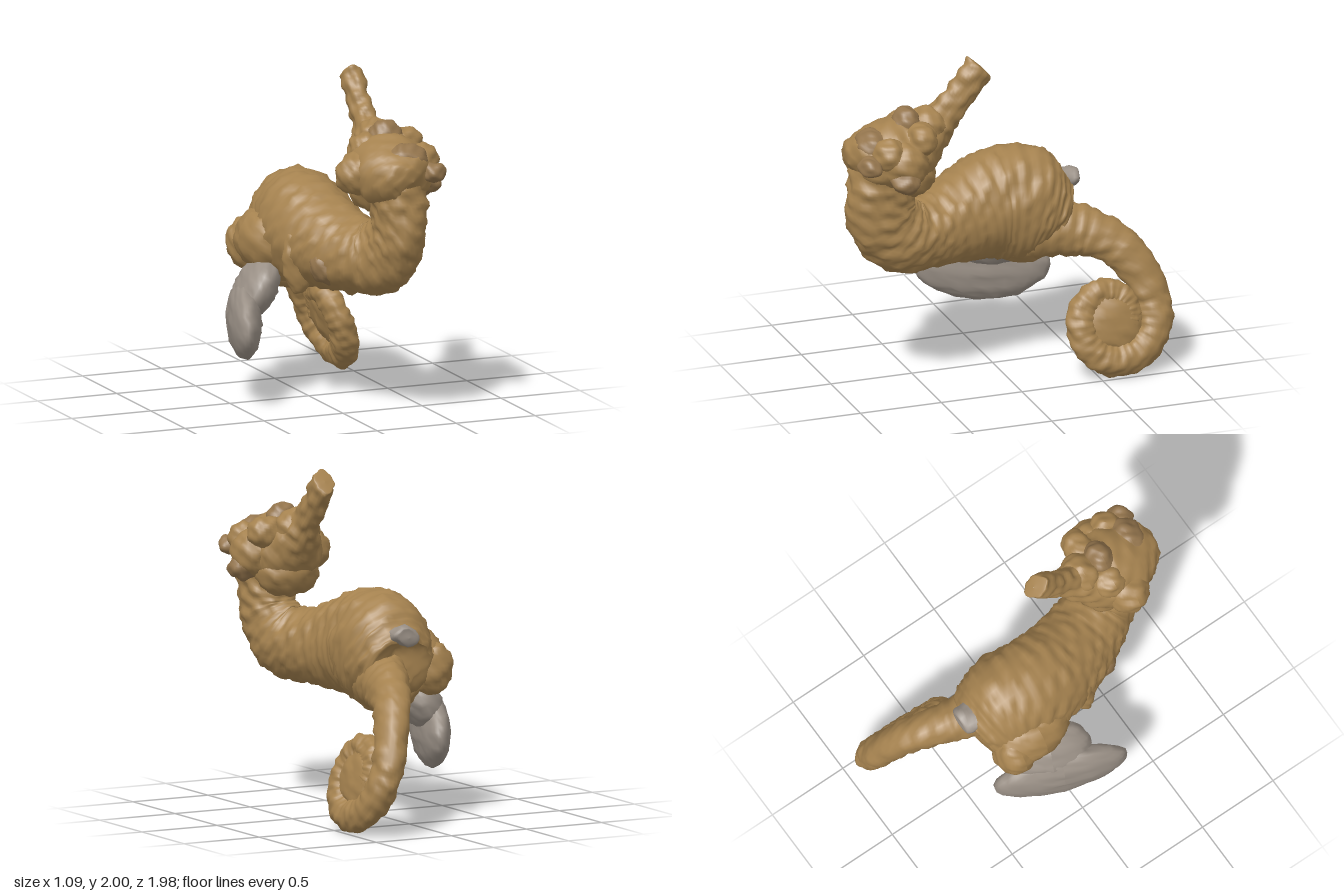
import * as THREE from 'three';

const tan = new THREE.MeshStandardMaterial({ color: 0xa5824f });
const brown = new THREE.MeshStandardMaterial({ color: 0x94754d });
const grey = new THREE.MeshStandardMaterial({ color: 0x9a9086 });

// Smooth pseudo-random roughness for the knobbly skin
const rough = (p) =>
  Math.sin(p.x * 31 + p.y * 17) * Math.sin(p.y * 37 - p.z * 13) * Math.sin(p.z * 29 + p.x * 11) +
  0.5 * Math.sin(p.x * 67 + p.z * 41) * Math.sin(p.y * 71 + p.z * 23);

// Skin elliptical rings along a path; stations are [x, y, z, sideRadius, depthRadius]
function loft(stations, { steps, sides = 32, ref, bump = 0.015, ribs = 0 }) {
  const path = new THREE.CatmullRomCurve3(stations.map((s) => new THREE.Vector3(s[0], s[1], s[2])));
  const radii = new THREE.CatmullRomCurve3(
    stations.map((s, i) => new THREE.Vector3(s[3], s[4], i * 0.1)));
  const pos = [], index = [];
  const p = new THREE.Vector3();
  for (let i = 0; i <= steps; i++) {
    const t = i / steps;
    const c = path.getPoint(t), r = radii.getPoint(t), tangent = path.getTangent(t);
    const side = ref.clone().addScaledVector(tangent, -ref.dot(tangent)).normalize();
    const up = tangent.clone().cross(side);
    const rib = 1 + ribs * Math.sin(i * 1.6);
    for (let j = 0; j < sides; j++) {
      const a = (j / sides) * Math.PI * 2;
      const offset = side.clone().multiplyScalar(Math.cos(a) * Math.max(r.x, 0.001))
        .addScaledVector(up, Math.sin(a) * Math.max(r.y, 0.001));
      p.copy(c).add(offset);
      const k = rib + (bump * rough(p)) / Math.max(offset.length(), 0.05);
      p.copy(c).addScaledVector(offset, k);
      pos.push(p.x, p.y, p.z);
      if (i < steps) {
        const a0 = i * sides + j, b0 = i * sides + ((j + 1) % sides);
        index.push(a0, b0, a0 + sides, b0, b0 + sides, a0 + sides);
      }
    }
  }
  const geo = new THREE.BufferGeometry();
  geo.setAttribute('position', new THREE.Float32BufferAttribute(pos, 3));
  geo.setIndex(index);
  geo.computeVertexNormals();
  return geo;
}

// Rough ellipsoid, optionally turned about the upright axis and leaned about z
function blob(x, y, z, rx, ry, rz, yaw = 0, lean = 0) {
  const geo = new THREE.SphereGeometry(1, 32, 22);
  geo.scale(rx, ry, rz).rotateZ(lean).rotateY(yaw).translate(x, y, z);
  const pos = geo.attributes.position;
  const c = new THREE.Vector3(x, y, z), v = new THREE.Vector3();
  for (let i = 0; i < pos.count; i++) {
    v.fromBufferAttribute(pos, i);
    const k = 1 + 0.012 * rough(v) / Math.max(v.distanceTo(c), 0.08);
    v.sub(c).multiplyScalar(k).add(c);
    pos.setXYZ(i, v.x, v.y, v.z);
  }
  geo.computeVertexNormals();
  return geo;
}

export function createModel() {
  const model = new THREE.Group();
  const add = (name, geo, mat) => {
    const mesh = new THREE.Mesh(geo, mat);
    mesh.name = name;
    model.add(mesh);
  };
  const across = new THREE.Vector3(1, 0, 0);
  const curlNormal = new THREE.Vector3(1, 0.34, 0);

  // Neck and trunk, blunt at the back
  const trunk = [
    [0.22, 1.5, 0.73, 0.17, 0.19],
    [0.23, 1.3, 0.78, 0.16, 0.19],
    [0.23, 1.1, 0.77, 0.15, 0.21],
    [0.19, 0.95, 0.64, 0.19, 0.22],
    [0.11, 0.92, 0.45, 0.23, 0.22],
    [0.03, 0.95, 0.22, 0.26, 0.27],
    [-0.01, 0.98, 0.0, 0.28, 0.33],
    [0.0, 0.97, -0.2, 0.28, 0.34],
    [0.0, 0.93, -0.32, 0.25, 0.26],
    [0.0, 0.89, -0.41, 0.19, 0.17],
    [0.0, 0.89, -0.43, 0.001, 0.001],
  ];
  add('neckAndTrunk', loft(trunk, { steps: 120, sides: 40, ref: across, ribs: 0.012 }), tan);

  // Tail leaving the trunk, then curling inwards on a leaning plane
  const tail = [
    [0.06, 0.84, -0.25, 0.16, 0.19],
    [0.12, 0.82, -0.42, 0.13, 0.16],
    [0.16, 0.79, -0.55, 0.115, 0.14],
    [0.24, 0.69, -0.72, 0.1, 0.125],
  ];
  for (let a = -0.4; a < 9.2; a += 0.5) {
    const r = 0.28 - 0.026 * (a + 0.4);
    const y = 0.325 - r * Math.sin(a);
    const w = 0.105 - 0.005 * a;
    tail.push([0.485 - 0.34 * y, y, -0.6 - r * Math.cos(a), w * 0.85, w]);
  }
  tail.push([0.375, 0.325, -0.6, 0.001, 0.001]);
  add('curledTail', loft(tail, { steps: 200, sides: 28, ref: curlNormal, ribs: 0.03, bump: 0.01 }), tan);
  add('tailCurlWeb', blob(0.375, 0.325, -0.59, 0.075, 0.21, 0.21, 0, 0.33), tan);

  // Head tapering into the tubular snout
  const head = [
    [0.24, 1.45, 0.98, 0.001, 0.001],
    [0.23, 1.46, 0.94, 0.14, 0.12],
    [0.21, 1.46, 0.77, 0.24, 0.2],
    [0.2, 1.49, 0.6, 0.23, 0.21],
    [0.2, 1.57, 0.47, 0.14, 0.14],
    [0.2, 1.66, 0.38, 0.08, 0.1],
    [0.2, 1.77, 0.28, 0.068, 0.088],
    [0.2, 1.91, 0.17, 0.068, 0.088],
    [0.2, 1.93, 0.15, 0.06, 0.075],
    [0.2, 1.935, 0.145, 0.001, 0.001],
  ];
  add('headAndSnout', loft(head, { steps: 80, ref: across }), tan);

  // Rounded lumps: [name, x, y, z, rx, ry, rz]
  const lumps = [
    ['chin', 0.2, 1.36, 0.6, 0.2, 0.16, 0.16],
    ['rightCheek', 0.03, 1.46, 0.68, 0.15, 0.13, 0.13],
    ['leftCheek', 0.38, 1.46, 0.68, 0.13, 0.14, 0.14],
    ['leftJawSpine', 0.43, 1.38, 0.7, 0.1, 0.08, 0.09],
    ['browSpine', 0.22, 1.66, 0.62, 0.1, 0.09, 0.08],
    ['brow', 0.21, 1.62, 0.48, 0.12, 0.11, 0.11],
    ['leftEye', 0.35, 1.59, 0.57, 0.12, 0.1, 0.09],
    ['rightEye', 0.09, 1.59, 0.6, 0.1, 0.09, 0.1],
    ['crownSpine', 0.25, 1.56, 0.84, 0.13, 0.09, 0.1],
    ['leftTemple', 0.38, 1.53, 0.78, 0.1, 0.1, 0.1],
    ['napeSpine', 0.4, 1.48, 0.9, 0.08, 0.06, 0.07],
    ['chestSpine', -0.05, 0.87, 0.42, 0.12, 0.12, 0.1],
    ['bellyRidge', -0.02, 0.75, -0.18, 0.2, 0.14, 0.2],
    ['sideRidge', -0.16, 0.88, 0.22, 0.1, 0.22, 0.06],
    ['flank', -0.19, 0.92, -0.16, 0.19, 0.19, 0.25],
    ['hip', -0.25, 0.87, -0.31, 0.13, 0.16, 0.12],
  ];
  for (const [name, ...size] of lumps) {
    add(name, blob(...size), name.endsWith('Spine') ? brown : tan);
  }

  // Small stub of the dorsal fin
  const stub = [
    [0.0, 1.11, -0.2, 0.09, 0.07],
    [0.0, 1.11, -0.35, 0.085, 0.05],
    [0.01, 1.1, -0.46, 0.09, 0.055],
    [0.01, 1.09, -0.51, 0.07, 0.045],
    [0.01, 1.09, -0.52, 0.001, 0.001],
  ];
  add('dorsalFin', loft(stub, { steps: 20, sides: 16, ref: across }), grey);

  // Broad foot lobe below the belly, set slantwise, with its short stem
  add('footLobe', blob(-0.38, 0.47, -0.07, 0.1, 0.22, 0.4, -0.34), grey);
  add('footStem', blob(-0.29, 0.65, -0.1, 0.12, 0.2, 0.26, -0.34, -0.5), grey);

  return model;
}
